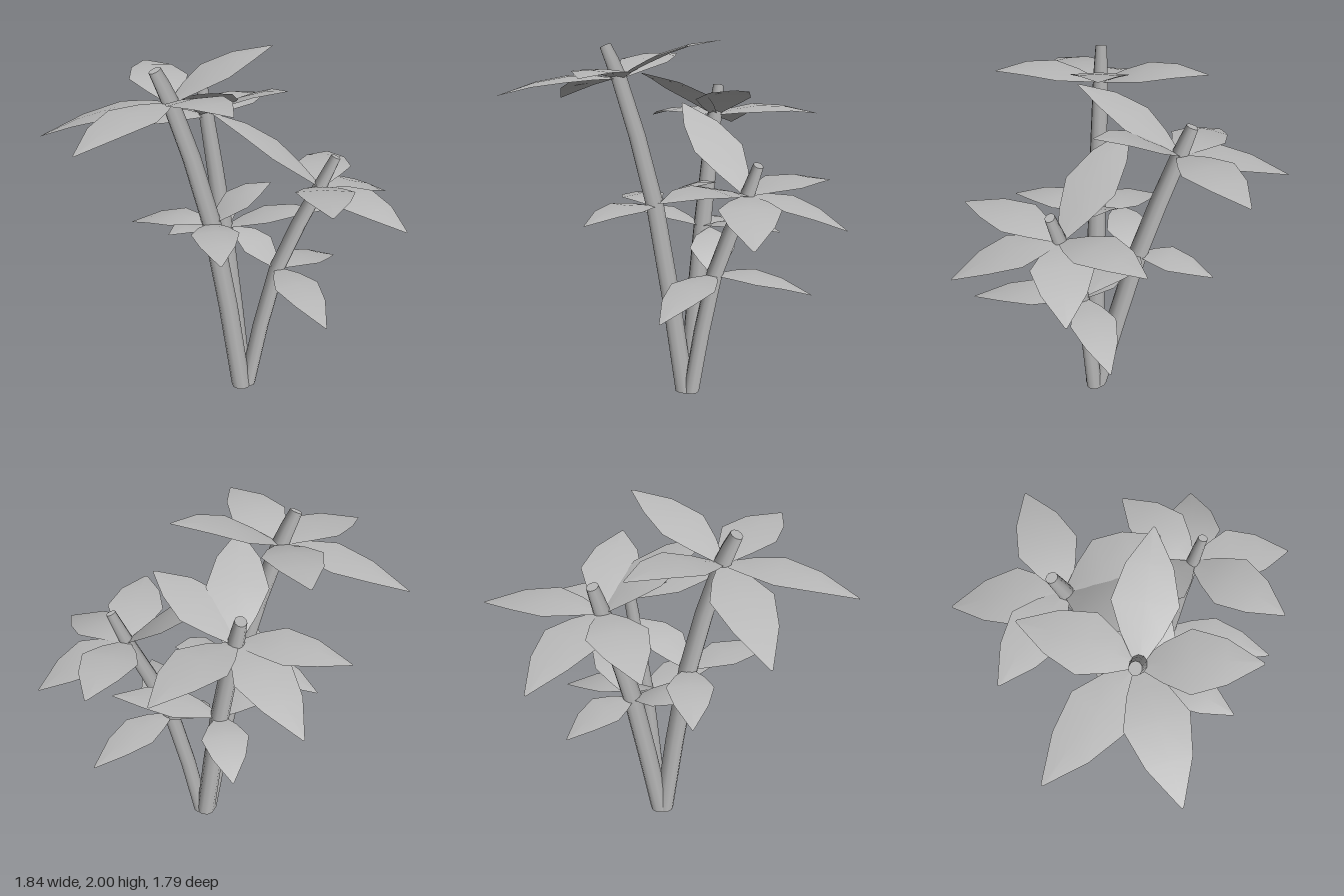
import * as THREE from 'three';

const grey = new THREE.MeshStandardMaterial({ color: 0xb8b8b8, side: THREE.DoubleSide });
grey.name = 'plain grey';

// Tapered stalk: a cylinder whose rings follow a curve
function makeStem(curve, radius) {
  const n = 6;
  const geo = new THREE.CylinderGeometry(1, 1, 1, 10, n);
  const pos = geo.attributes.position;
  for (let i = 0; i < pos.count; i++) {
    const t = THREE.MathUtils.clamp(pos.getY(i) + 0.5, 0, 1);
    const r = radius * (1 - 0.45 * t ** 1.5);
    const p = curve.getPoint(t), dir = curve.getTangent(t);
    const dx = pos.getX(i) * r, dz = pos.getZ(i) * r;
    // tilt each ring across the stalk, keeping the foot level
    const tilt = t < 0.01 ? 0 : (dx * dir.x + dz * dir.z) / dir.y;
    pos.setXYZ(i, p.x + dx, p.y - tilt, p.z + dz);
  }
  const mesh = new THREE.Mesh(geo, grey);
  mesh.name = 'stem';
  return mesh;
}

// Leaf cross-sections: position along the leaf, share of the half width
const SECTIONS = [[0, 0.12], [0.2, 0.62], [0.42, 1], [0.7, 0.7], [0.97, 0.1], [1, 0.03]];

// Arched leaf blade from the stalk to its tip
function makeLeaf(from, to, halfWidth) {
  const side = new THREE.Vector3(from.z - to.z, 0, to.x - from.x).normalize();
  const verts = [], index = [];
  SECTIONS.forEach(([t, w], i) => {
    const mid = from.clone().lerp(to, t);
    mid.y += 0.05 * Math.sin(Math.PI * t);
    for (const s of [-1, 0, 1]) {
      const p = mid.clone().addScaledVector(side, s * w * halfWidth);
      verts.push(p.x, p.y - Math.abs(s) * w * 0.012, p.z);
    }
    if (i === 0) return;
    for (let j = 0; j < 2; j++) {
      const a = (i - 1) * 3 + j, b = a + 3;
      index.push(a, a + 1, b, a + 1, b + 1, b);
    }
  });
  // order the corners so that the face points up
  index.reverse();
  const geo = new THREE.BufferGeometry();
  geo.setAttribute('position', new THREE.Float32BufferAttribute(verts, 3));
  geo.setIndex(index);
  geo.computeVertexNormals();
  const mesh = new THREE.Mesh(geo, grey);
  mesh.name = 'leaf';
  return mesh;
}

// Ring of leaves spreading from one point of the stalk to the given tips
function makeWhorl(name, centre, tips, halfWidth) {
  const whorl = new THREE.Group();
  whorl.name = name;
  for (const tip of tips) whorl.add(makeLeaf(centre, new THREE.Vector3(...tip), halfWidth));
  return whorl;
}

// Stalk through its foot, lower whorl, upper whorl and top
function makeStalk(name, radius, path, upperTips, lowerTips) {
  const points = path.map((p) => new THREE.Vector3(...p));
  const stalk = new THREE.Group();
  stalk.name = name;
  stalk.add(
    makeStem(new THREE.CatmullRomCurve3(points), radius),
    makeWhorl('upperLeaves', points[2], upperTips, 0.155),
    makeWhorl('lowerLeaves', points[1], lowerTips, 0.125),
  );
  return stalk;
}

export function createModel() {
  const model = new THREE.Group();
  model.name = 'leafyPlant';
  model.add(
    makeStalk('frontStalk', 0.055,
      [[0.02, 0, 0.01], [-0.11, 1.09, 0.13], [-0.265, 1.78, 0.27], [-0.32, 1.95, 0.325]],
      [[0.135, 2, -0.15], [-0.6, 1.86, -0.2], [-0.92, 1.59, 0.42], [-0.485, 1.69, 0.89], [0.17, 1.85, 0.62]],
      [[0.145, 1.26, -0.12], [-0.58, 1.03, 0.12], [0.1, 1.09, 0.6]]),
    makeStalk('backStalk', 0.055,
      [[0.02, 0, -0.015], [-0.14, 0.93, -0.17], [-0.285, 1.54, -0.31], [-0.325, 1.7, -0.35]],
      [[-0.135, 1.53, -0.9], [-0.77, 1.39, -0.655], [-0.815, 1.465, -0.135], [0.21, 1.75, -0.2], [-0.06, 1.83, 0.22]],
      [[-0.38, 0.84, -0.52], [0.4, 1.025, -0.37], [-0.33, 1.02, 0.2]]),
    makeStalk('sideStalk', 0.046,
      [[0.05, 0, -0.02], [0.2, 0.76, -0.09], [0.41, 1.25, -0.17], [0.485, 1.42, -0.19]],
      [[0.335, 1.26, -0.705], [0.72, 1.1, -0.575], [0.915, 1.14, 0.05], [0.59, 1.315, 0.375], [-0.17, 1.64, -0.06]],
      [[0.585, 0.705, 0.38], [0.43, 0.65, -0.565], [-0.1, 0.93, -0.2]]),
  );
  return model;
}
